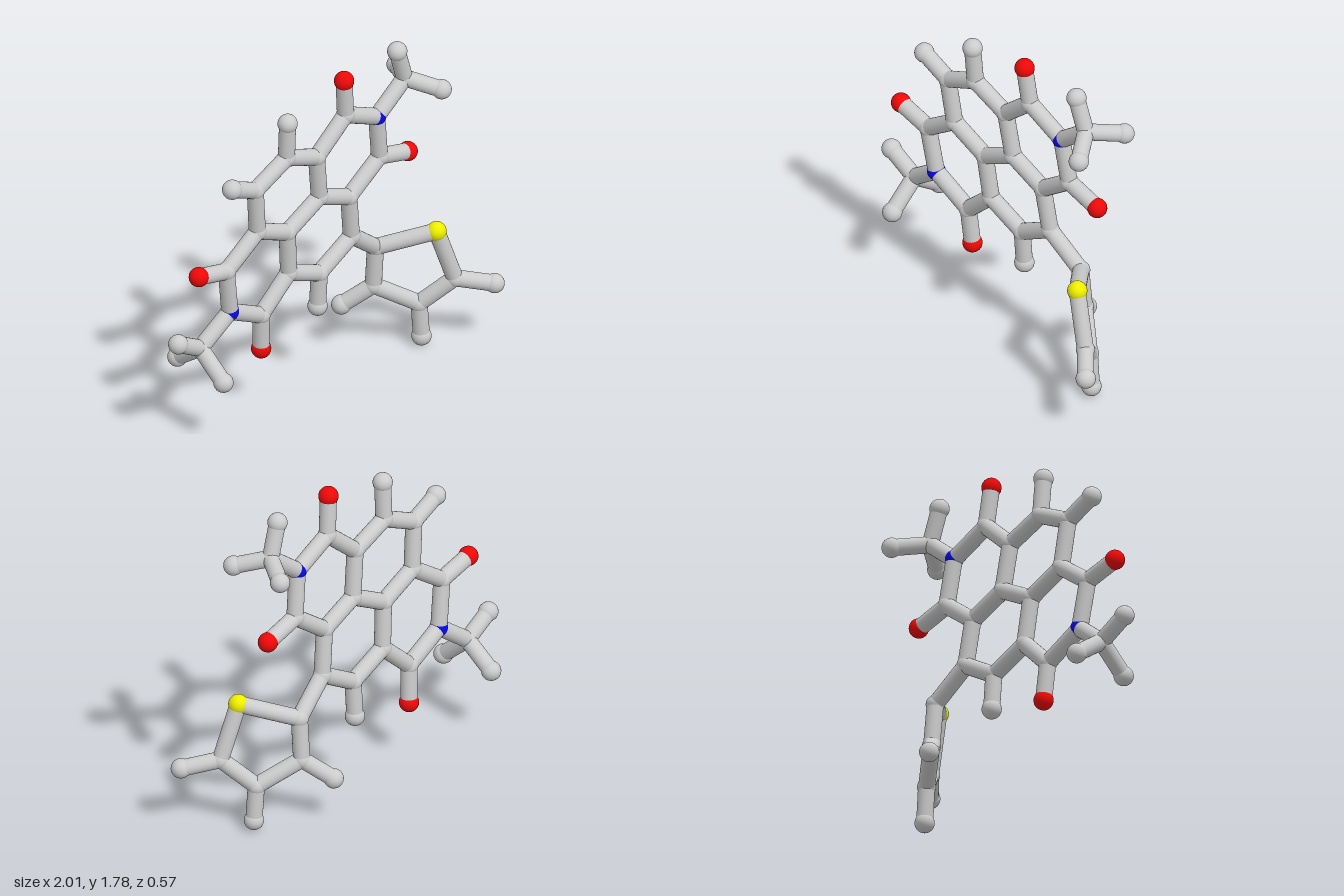
import * as THREE from 'three';

const BOND_R = 0.043, JOINT_R = 0.048, END_R = 0.051;
const COLORS = { carbon: 0xcccccc, hydrogen: 0xcccccc, oxygen: 0xee0808, nitrogen: 0x0808dd, sulfur: 0xeeee00 };
const KINDS = { C: 'carbon', H: 'hydrogen', O: 'oxygen', N: 'nitrogen', S: 'sulfur' };

// Atoms of the fused ring sheet, [x, y]; z follows the sheet's slight tilt
const sheet = {
  C1: [-0.46, 1.32], C2: [-0.245, 1.425], C3: [-0.025, 1.34], C4: [0.17, 1.51],
  N1: [0.4, 1.405], C5: [0.435, 1.155], C6: [0.227, 1.0], C7: [0.01, 1.09],
  C8: [-0.21, 0.97], C9: [-0.43, 1.065], C10: [-0.64, 0.915], N2: [-0.6, 0.66],
  C11: [-0.37, 0.545], C12: [-0.185, 0.72], C13: [0.04, 0.625], C14: [0.26, 0.755],
  H1: [-0.63, 1.395], H2: [-0.25, 1.63], H13: [0.04, 0.43],
  O4: [0.147, 1.72], O5: [0.64, 1.1], O10: [-0.84, 0.963], O11: [-0.356, 0.34],
};
const sheetZ = (x, y) => -0.098 - 0.081 * x + 0.069 * y;

// Side groups, [x, y, z]: five-sided ring and the two end groups
const sides = {
  C20: [0.457, 0.6, -0.11], S1: [0.69, 0.69, 0.09], C21: [0.79, 0.395, 0.115],
  C22: [0.66, 0.245, -0.01], C23: [0.46, 0.37, -0.13],
  H21: [0.95, 0.357, 0.235], H22: [0.676, 0.052, -0.01], H23: [0.34, 0.257, -0.237],
  C30: [0.59, 1.555, -0.04], H31: [0.53, 1.735, -0.027], H32: [0.715, 1.503, 0.1], H33: [0.685, 1.525, -0.212],
  C40: [-0.79, 0.515, -0.01], H41: [-0.953, 0.605, 0.01], H42: [-0.77, 0.375, 0.145], H43: [-0.8, 0.4, -0.175],
};

// Each chain joins its atoms one after another
const chains = {
  ringBond: ['C1 C2 C3 C4 N1 C5 C6 C14 C13 C12 C11 N2 C10 C9 C1', 'C3 C7 C6', 'C7 C8 C9', 'C8 C12'],
  sheetArm: ['C1 H1', 'C2 H2', 'C13 H13', 'C4 O4', 'C5 O5', 'C10 O10', 'C11 O11'],
  sideRingBond: ['C14 C20 S1 C21 C22 C23 C20', 'C21 H21', 'C22 H22', 'C23 H23'],
  endGroupBond: ['N1 C30 H31', 'C30 H32', 'C30 H33', 'N2 C40 H41', 'C40 H42', 'C40 H43'],
};

export function createModel() {
  const model = new THREE.Group();
  model.name = 'molecule';
  const materials = {};
  for (const kind in COLORS) materials[kind] = new THREE.MeshStandardMaterial({ color: COLORS[kind] });

  const atoms = {};
  for (const [id, [x, y]] of Object.entries(sheet)) atoms[id] = new THREE.Vector3(x, y, sheetZ(x, y));
  for (const [id, p] of Object.entries(sides)) atoms[id] = new THREE.Vector3(...p);

  // Balls: inner joints barely exceed the rods, end balls are larger
  const joint = new THREE.SphereGeometry(JOINT_R, 28, 20);
  const end = new THREE.SphereGeometry(END_R, 28, 20);
  for (const [id, p] of Object.entries(atoms)) {
    const kind = KINDS[id[0]];
    const ball = new THREE.Mesh('CN'.includes(id[0]) ? joint : end, materials[kind]);
    ball.name = kind + 'Ball';
    ball.position.copy(p);
    model.add(ball);
  }

  // Rods between neighbouring balls
  const rod = new THREE.CylinderGeometry(BOND_R, BOND_R, 1, 24, 1);
  const up = new THREE.Vector3(0, 1, 0);
  for (const [name, list] of Object.entries(chains)) {
    const group = new THREE.Group();
    group.name = name + 's';
    for (const chain of list) {
      const ids = chain.split(' ');
      for (let i = 1; i < ids.length; i++) {
        const a = atoms[ids[i - 1]], b = atoms[ids[i]];
        const dir = b.clone().sub(a);
        const mesh = new THREE.Mesh(rod, materials.carbon);
        mesh.name = name;
        mesh.scale.y = dir.length();
        mesh.position.copy(a).lerp(b, 0.5);
        mesh.quaternion.setFromUnitVectors(up, dir.normalize());
        group.add(mesh);
      }
    }
    model.add(group);
  }
  return model;
}
